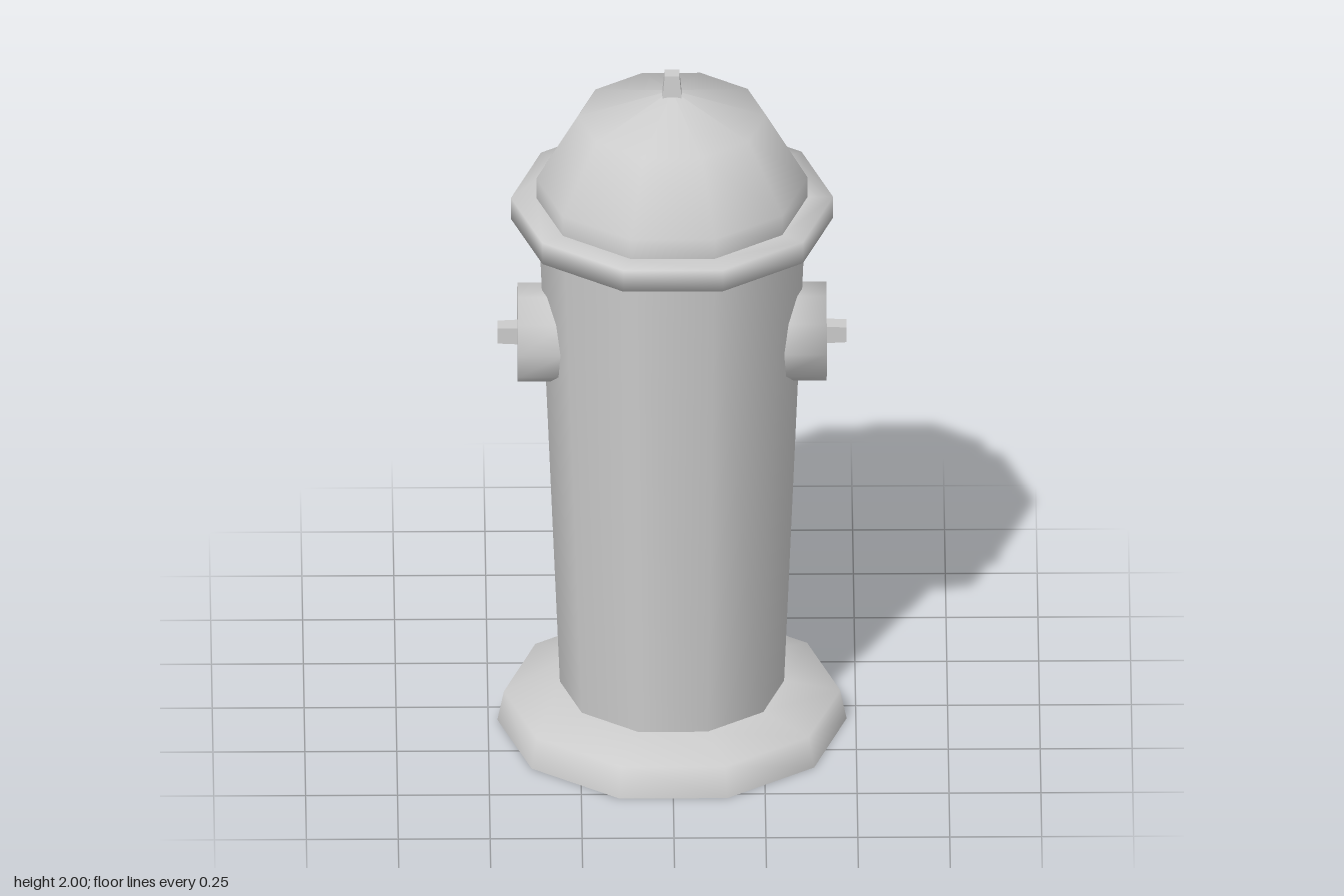
import * as THREE from 'three';

const SIDES = 10;
const AXIS_Z = 0.072; // the barrel stands slightly forward of the origin

const smooth = new THREE.MeshStandardMaterial({ color: 0xcccccc, side: THREE.DoubleSide });
const faceted = new THREE.MeshStandardMaterial({ color: 0xcccccc, flatShading: true });

// Ten-sided turned part; profile is [radius, height] from bottom to top
function turned(name, profile, phiStart = Math.PI / 2) {
  const points = profile.map(([r, y]) => new THREE.Vector2(r, y));
  const mesh = new THREE.Mesh(new THREE.LatheGeometry(points, SIDES, phiStart), smooth);
  mesh.name = name;
  return mesh;
}

// Square tapered operating nut, rising from y
function nut(name, y, height, topWidth, bottomWidth) {
  const geometry = new THREE.CylinderGeometry(topWidth * Math.SQRT1_2, bottomWidth * Math.SQRT1_2, height, 4);
  geometry.rotateY(Math.PI / 4).translate(0, y + height / 2, 0);
  const mesh = new THREE.Mesh(geometry, faceted);
  mesh.name = name;
  return mesh;
}

// Capped outlet with its nut, built along +y
function outlet(name, inner, outer, innerRadius, outerRadius, nutLength, nutTop, phiStart) {
  const group = new THREE.Group();
  group.name = name;
  group.add(
    turned(name + 'Cap', [[innerRadius, inner], [outerRadius, outer], [0, outer]], phiStart),
    nut(name + 'Nut', outer - 0.005, nutLength + 0.005, nutTop, 0.05)
  );
  return group;
}

export function createModel() {
  const model = new THREE.Group();
  model.name = 'fireHydrant';

  // Upright stack, open at the bottom
  const stack = new THREE.Group();
  stack.name = 'stack';
  stack.position.z = AXIS_Z;
  stack.add(
    turned('baseFlange', [[0.475, 0], [0.457, 0.088], [0.305, 0.118]]),
    turned('barrel', [[0.305, 0.118], [0.363, 1.55]]),
    turned('collar', [[0.363, 1.55], [0.438, 1.55], [0.438, 1.615], [0.369, 1.615]]),
    turned('dome', [[0.369, 1.615], [0.369, 1.675], [0.256, 1.868], [0, 1.947]]),
    nut('topNut', 1.935, 0.065, 0.04, 0.052)
  );
  model.add(stack);

  // Matching side outlets
  for (const [name, side] of [['leftOutlet', 1], ['rightOutlet', -1]]) {
    const part = outlet(name, 0.29, 0.42, 0.137, 0.137, 0.055, 0.046, 0);
    part.rotation.z = -side * Math.PI / 2;
    part.position.set(0, 1.2, AXIS_Z);
    model.add(part);
  }

  // Large tapered outlet at the back
  const back = outlet('backOutlet', 0.18, 0.455, 0.214, 0.174, 0.073, 0.042, Math.PI / 2);
  back.rotation.x = -Math.PI / 2;
  back.position.y = 1.087;
  model.add(back);

  return model;
}
